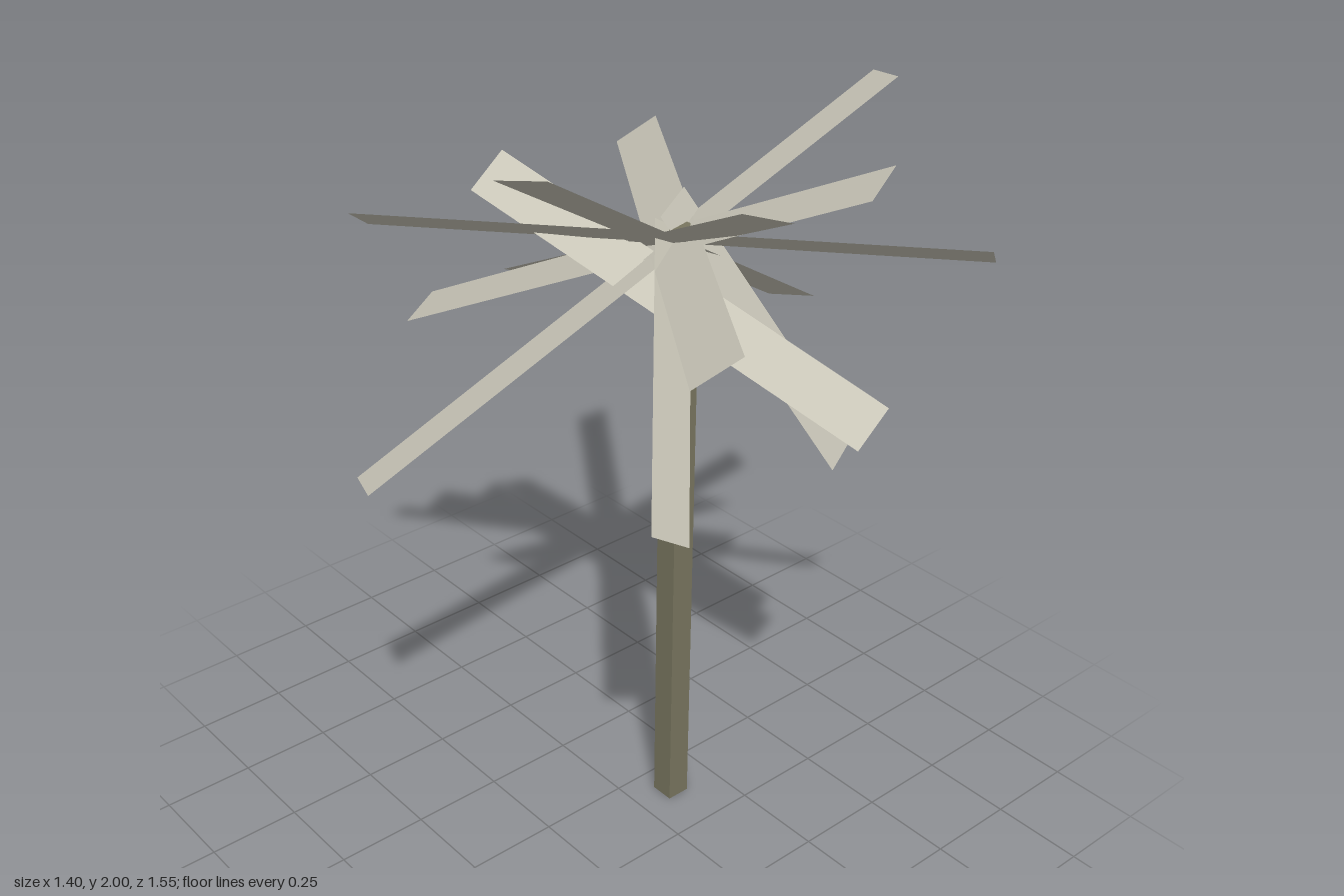
import * as THREE from 'three';

const leafMat = new THREE.MeshStandardMaterial({ color: 0xc9c6b8, side: THREE.DoubleSide });
leafMat.name = 'pale leaf';
const trunkMat = new THREE.MeshStandardMaterial({ color: 0x79765f });
trunkMat.name = 'olive trunk';

// Flat rectangular strip between two end centres, with a full-width vector
function strip(start, end, across) {
  const p = new THREE.Vector3(...start);
  const q = new THREE.Vector3(...end);
  const dir = q.clone().sub(p);
  const length = dir.length();
  dir.normalize();
  const side = new THREE.Vector3(...across);
  side.addScaledVector(dir, -side.dot(dir)); // keep the corners square
  const width = side.length();
  side.normalize();
  const geo = new THREE.PlaneGeometry(width, length);
  const normal = side.clone().cross(dir);
  // Let the front of every leaf look upward
  if (normal.y < 0) { side.negate(); normal.negate(); }
  const m = new THREE.Matrix4().makeBasis(side, dir, normal);
  m.setPosition(p.add(q).multiplyScalar(0.5));
  return geo.applyMatrix4(m);
}

export function createModel() {
  const model = new THREE.Group();
  model.name = 'palmTree';

  // Square trunk
  const trunkHeight = 1.69;
  const trunk = new THREE.Mesh(new THREE.BoxGeometry(0.065, trunkHeight, 0.065), trunkMat);
  trunk.position.set(0.1125, trunkHeight / 2, 0.0925);
  trunk.name = 'trunk';
  model.add(trunk);

  // Leaves: start centre, end centre, width vector
  const leaves = [
    // Long strips crossing over the trunk
    [[-0.07, 1.24, -0.755], [0.2, 1.935, 0.63], [0.115, 0.04, -0.04]],
    [[0.205, 1.3, -0.64], [-0.02, 1.875, 0.51], [0.115, -0.04, 0.04]],
    [[0.595, 1.625, -0.63], [-0.345, 1.695, 0.71], [0.09, 0.07, 0.06]],
    [[-0.405, 1.665, -0.49], [0.455, 1.732, 0.743], [0.09, -0.07, -0.06]],
    [[0.675, 1.29, -0.08], [-0.465, 1.99, 0.24], [0.05, 0.02, 0.12]],
    [[0.622, 1.99, 0.24], [-0.675, 1.188, -0.12], [0.048, -0.022, -0.12]],
    [[-0.145, 1.775, -0.318], [0.232, 1.33, 0.627], [0.1, 0.075, 0]],
    // Short drooping strips that end at the crown
    [[0.428, 1.08, 0.362], [0.118, 1.74, 0.055], [0.115, 0.03, -0.045]],
    [[-0.27, 1.168, 0.498], [0.1, 1.69, 0.08], [0.11, -0.065, 0.005]],
  ];
  const crown = new THREE.Group();
  crown.name = 'crown';
  leaves.forEach(([start, end, across], i) => {
    const leaf = new THREE.Mesh(strip(start, end, across), leafMat);
    leaf.name = `leaf${i + 1}`;
    crown.add(leaf);
  });
  model.add(crown);
  return model;
}
